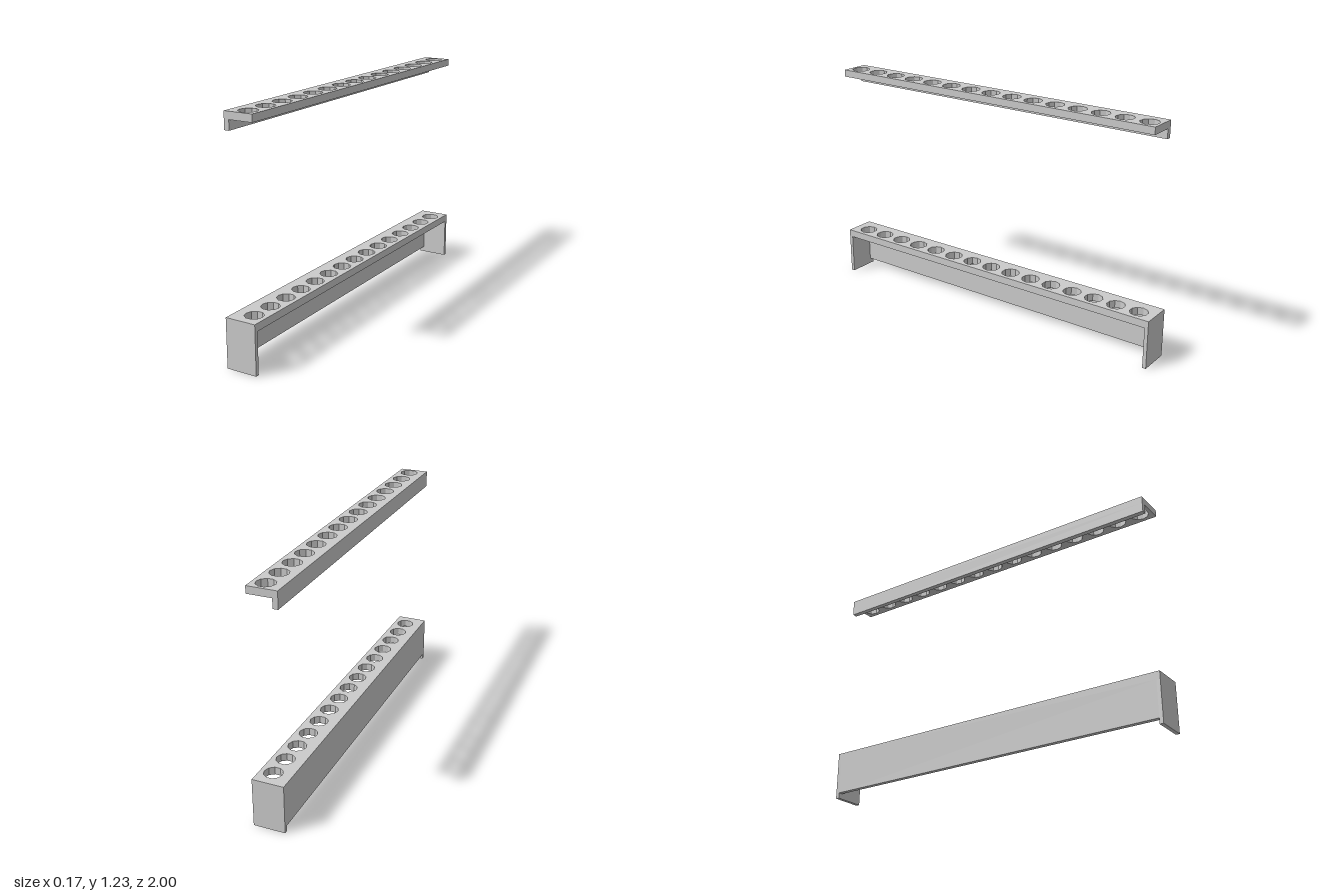
import * as THREE from 'three';

const material = new THREE.MeshStandardMaterial({ color: 0xcccccc, flatShading: true });
const HOLES = 15, PITCH = 0.13, HOLE_X = 0.013, HOLE_R = 0.048, HOLE_SIDES = 10;

// Flat strip with a row of faceted holes, spanning x0..x1, y0..y1, z0..z1
function perforatedStrip(name, [x0, x1], [y0, y1], [z0, z1]) {
  const shape = new THREE.Shape([
    new THREE.Vector2(x0, -z1), new THREE.Vector2(x1, -z1),
    new THREE.Vector2(x1, -z0), new THREE.Vector2(x0, -z0),
  ]);
  for (let i = 0; i < HOLES; i++) {
    const cy = (i - (HOLES - 1) / 2) * PITCH;
    const points = [];
    for (let k = 0; k < HOLE_SIDES; k++) {
      const a = -(k / HOLE_SIDES) * Math.PI * 2;
      points.push(new THREE.Vector2(HOLE_X + HOLE_R * Math.cos(a), cy + HOLE_R * Math.sin(a)));
    }
    shape.holes.push(new THREE.Path(points));
  }
  const geometry = new THREE.ExtrudeGeometry(shape, { depth: y1 - y0, bevelEnabled: false });
  geometry.rotateX(-Math.PI / 2).translate(0, y0, 0);
  const mesh = new THREE.Mesh(geometry, material);
  mesh.name = name;
  return mesh;
}

// Box given by its extents
function slab(name, [x0, x1], [y0, y1], [z0, z1]) {
  const mesh = new THREE.Mesh(new THREE.BoxGeometry(x1 - x0, y1 - y0, z1 - z0), material);
  mesh.position.set((x0 + x1) / 2, (y0 + y1) / 2, (z0 + z1) / 2);
  mesh.name = name;
  return mesh;
}

export function createModel() {
  const model = new THREE.Group();
  model.name = 'tubeRack';

  // Lower rack: holed top, side panel stopping short of the ground, two end plates
  const lower = new THREE.Group();
  lower.name = 'lowerRack';
  lower.add(
    perforatedStrip('lowerTop', [-0.085, 0.082], [0.22, 0.26], [-1, 1]),
    slab('sidePanel', [-0.085, -0.06], [0.03, 0.22], [-0.98, 0.98]),
    slab('frontEndPlate', [-0.085, 0.082], [0, 0.22], [0.98, 1]),
    slab('backEndPlate', [-0.085, 0.082], [0, 0.22], [-1, -0.98]),
  );

  // Upper strip: holed top with a short lip along one side
  const upper = new THREE.Group();
  upper.name = 'upperStrip';
  upper.add(
    perforatedStrip('upperTop', [-0.075, 0.08], [1.195, 1.233], [-0.973, 0.973]),
    slab('lip', [-0.075, -0.048], [1.145, 1.195], [-0.973, 0.973]),
  );

  model.add(lower, upper);
  return model;
}
